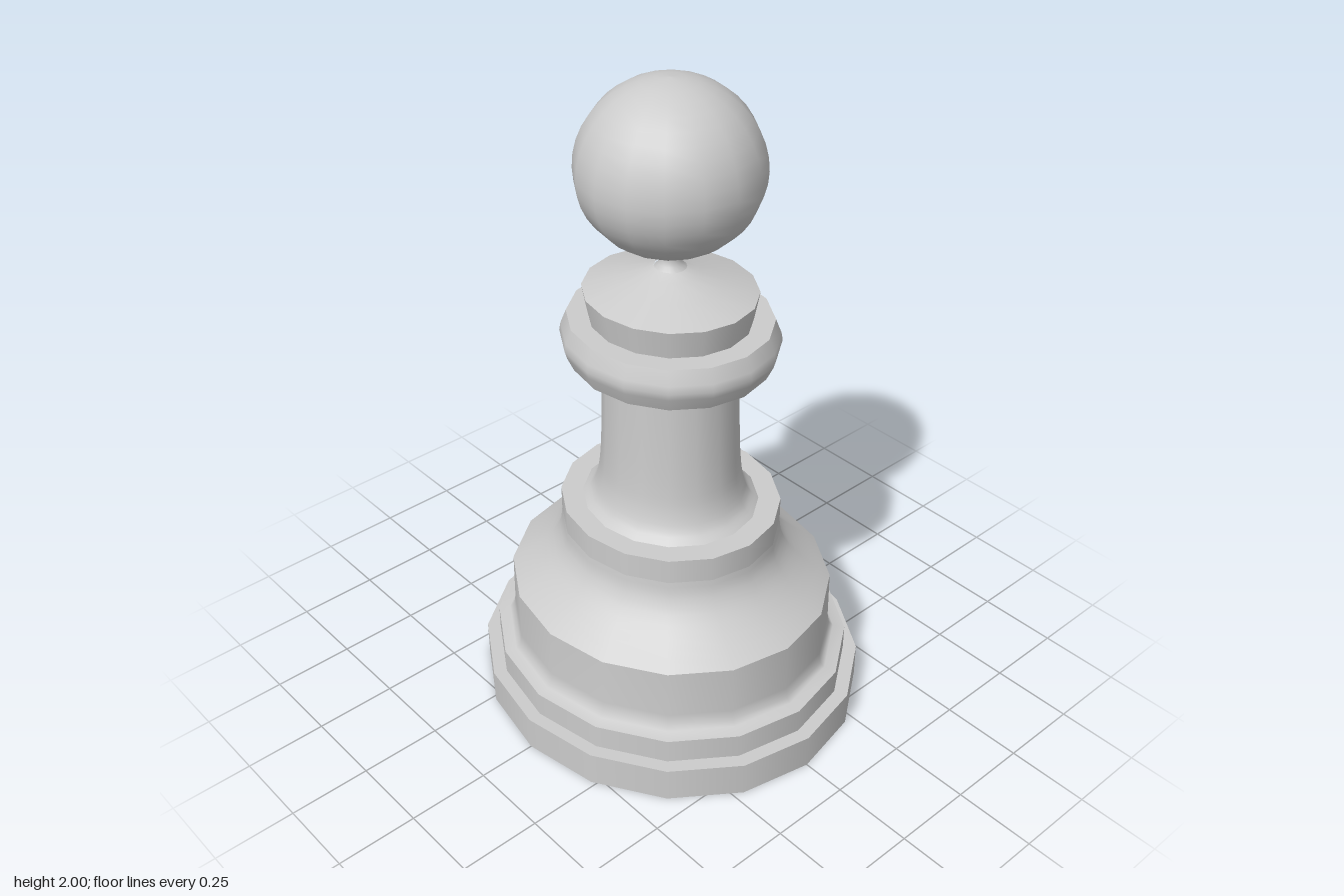
import * as THREE from 'three';

const SIDES = 16;
const DEPTH = 1.077; // the turned body is slightly deeper than wide
const material = new THREE.MeshStandardMaterial({ color: 0xcccccc });

// Turns each smooth run of [radius, height] points; edges between runs stay sharp
function turned(name, runs, depth = DEPTH) {
  const part = new THREE.Group();
  part.name = name;
  runs.forEach((run, i) => {
    const points = run.map(([r, y]) => new THREE.Vector2(r, y));
    const mesh = new THREE.Mesh(new THREE.LatheGeometry(points, SIDES), material);
    mesh.name = `${name}Surface${i + 1}`;
    mesh.scale.z = depth;
    part.add(mesh);
  });
  return part;
}

// Splits a polyline into separate straight runs, one per facet
const sharp = (points) => points.slice(1).map((p, i) => [points[i], p]);

// Samples a smooth curve through a few profile points
function smooth(points, steps) {
  const curve = new THREE.CatmullRomCurve3(
    points.map(([r, y]) => new THREE.Vector3(r, y, 0)), false, 'centripetal');
  return curve.getPoints(steps).map((p) => [p.x, p.y]);
}

export function createModel() {
  const model = new THREE.Group();
  model.name = 'pawn';

  // Stepped foot
  model.add(turned('foot',
    sharp([[0, 0], [0.57, 0], [0.57, 0.11], [0.53, 0.11], [0.53, 0.188]])));

  // Drum with a small fillet at its bottom and a concave shoulder above
  model.add(turned('drum', [
    [[0.53, 0.188], [0.495, 0.194], [0.482, 0.207], [0.477, 0.24], [0.475, 0.395]],
    smooth([[0.475, 0.395], [0.405, 0.45], [0.352, 0.505], [0.326, 0.555], [0.319, 0.6]], 10),
  ]));

  // Upper step
  model.add(turned('upperStep', sharp([[0.319, 0.6], [0.319, 0.678], [0.25, 0.678]])));

  // Flared stem
  model.add(turned('stem', [
    smooth([[0.255, 0.678], [0.228, 0.705], [0.21, 0.755], [0.201, 0.82], [0.194, 0.98], [0.19, 1.167]], 14),
  ]));

  // Collar with a bulging rim
  model.add(turned('collar', [
    [[0.185, 1.167], [0.28, 1.167]],
    [[0.28, 1.167], [0.299, 1.21], [0.305, 1.232], [0.301, 1.255], [0.285, 1.297]],
    [[0.285, 1.297], [0.2, 1.297]],
  ]));

  // Flared cap with a low cone
  model.add(turned('cap', [
    [[0.226, 1.297], [0.241, 1.382]],
    [[0.241, 1.382], [0.15, 1.413], [0.075, 1.438], [0.045, 1.453]],
  ]));

  // Thin round neck
  model.add(turned('neck', [[[0.048, 1.45], [0.034, 1.463], [0.03, 1.48], [0.03, 1.515]]], 1));

  // Ball, a little flatter below its middle
  const ball = [];
  for (let i = 0; i <= 20; i++) {
    const a = -Math.PI / 2 + (Math.PI * i) / 20;
    const half = a < 0 ? 0.235 : 0.26;
    ball.push([Math.max(0, 0.263 * Math.cos(a)), 1.74 + half * Math.sin(a)]);
  }
  model.add(turned('ball', [ball], 1));

  return model;
}
